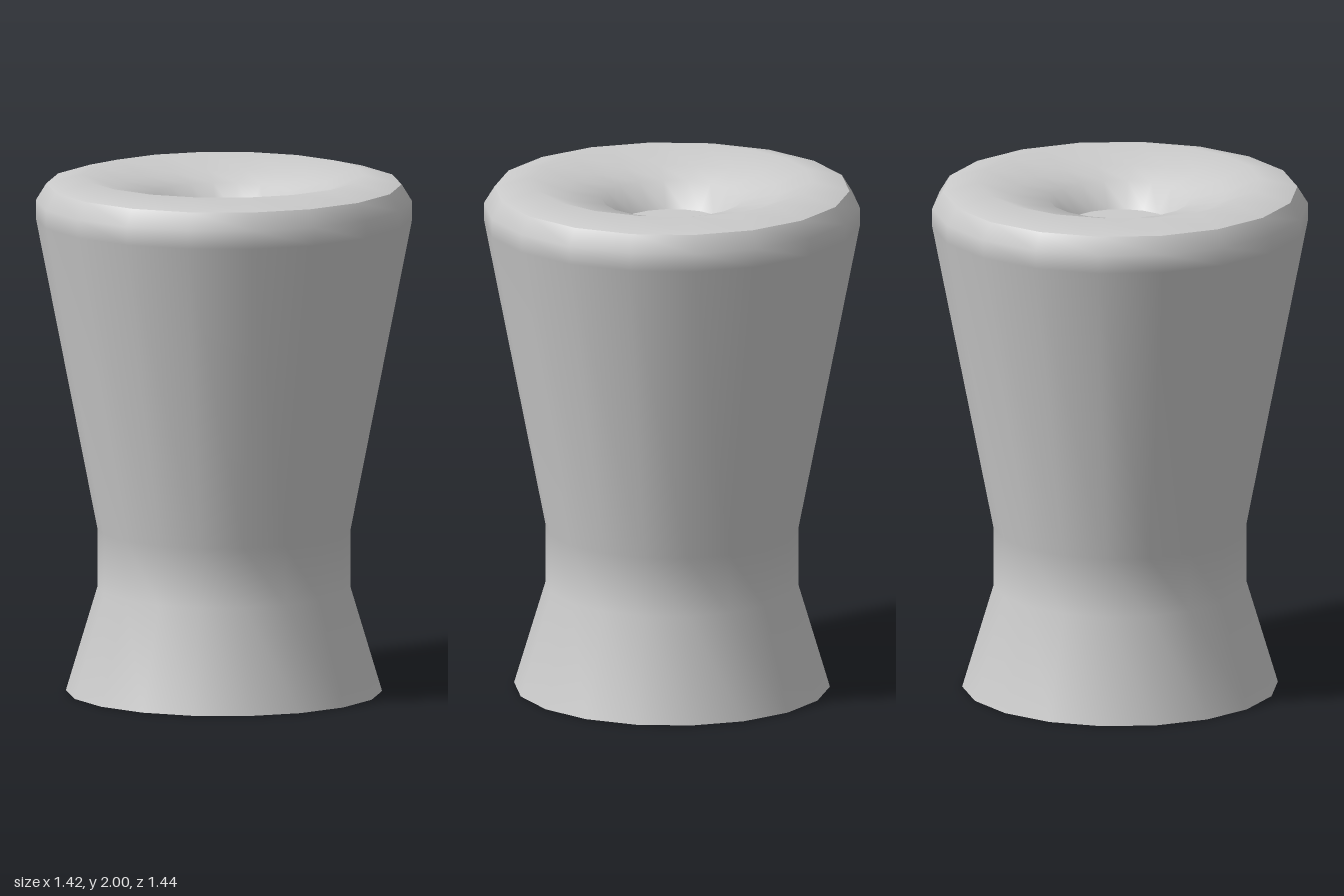
import * as THREE from 'three';

const SIDES = 18;

// Each profile runs [radius, height]; normals are smooth within one part
// and sharp where two parts meet.
const PARTS = {
  base: [[0, 0], [0.605, 0]],
  body: [[0.605, 0], [0.485, 0.4], [0.485, 0.63], [0.72, 1.83], [0.72, 1.9], [0.68, 1.965]],
  dishedTop: [[0.68, 1.965], [0.54, 2], [0.41, 1.95], [0.27, 1.925], [0.2, 1.83]],
  recessFloor: [[0.2, 1.83], [0, 1.83]],
};

export function createModel() {
  const group = new THREE.Group();
  group.name = 'waistedPedestal';
  const material = new THREE.MeshStandardMaterial({ color: 0xcccccc });
  for (const [name, profile] of Object.entries(PARTS)) {
    const points = profile.map(([r, y]) => new THREE.Vector2(r, y));
    const mesh = new THREE.Mesh(new THREE.LatheGeometry(points, SIDES), material);
    mesh.name = name;
    group.add(mesh);
  }
  return group;
}
